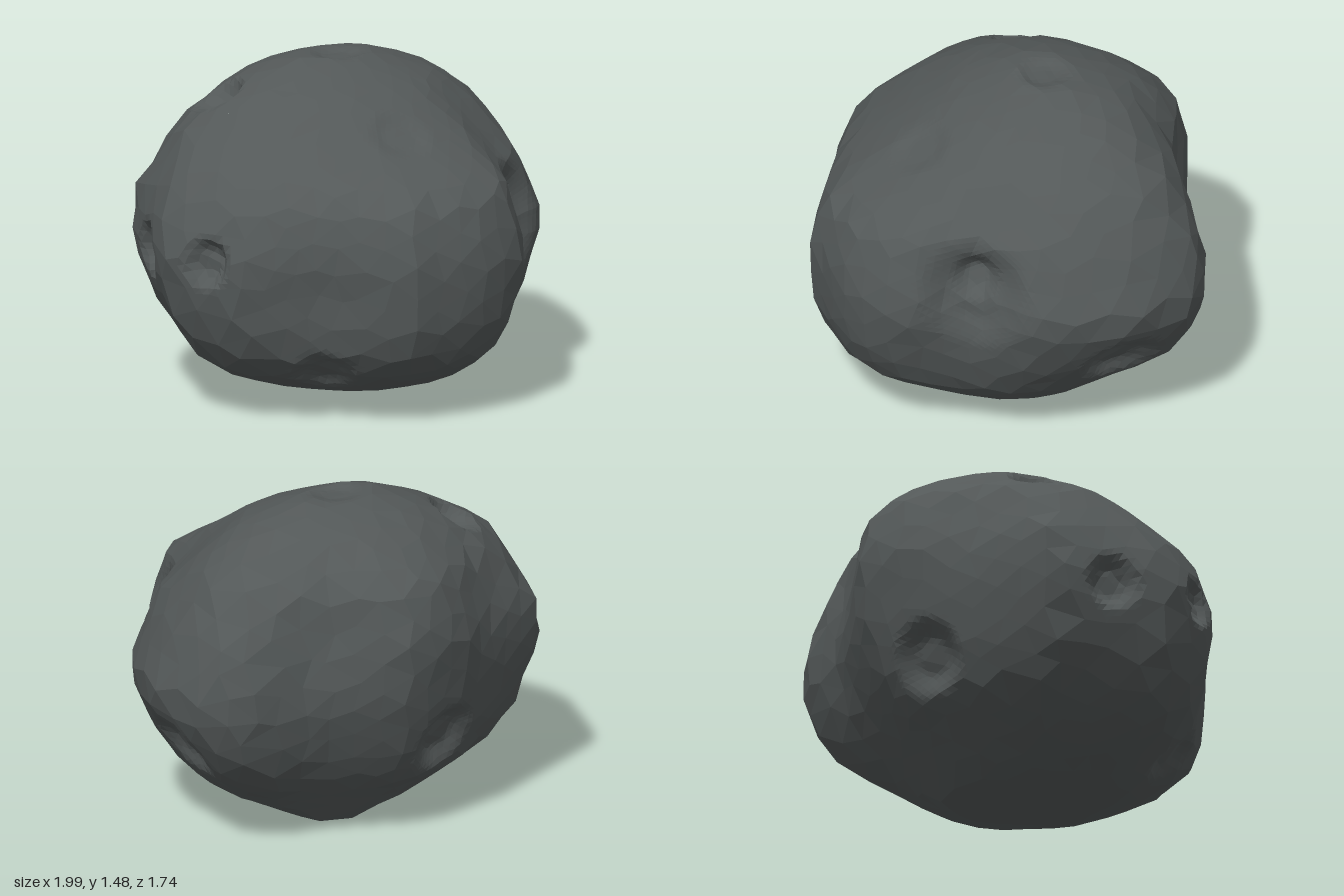
import * as THREE from 'three';

const CENTRE = new THREE.Vector3(0, 0.75, 0);

// height, then x and z limits of the body at that height
const RINGS = [
  [0.00, -0.03, 0.26, -0.36, -0.12], [0.03, -0.23, 0.33, -0.39, 0.16],
  [0.10, -0.48, 0.50, -0.46, 0.48], [0.18, -0.66, 0.62, -0.55, 0.63],
  [0.27, -0.79, 0.71, -0.67, 0.78], [0.45, -0.93, 0.87, -0.77, 0.86],
  [0.65, -1.00, 0.99, -0.83, 0.88], [0.76, -1.01, 1.00, -0.85, 0.88],
  [0.93, -0.95, 0.92, -0.88, 0.83], [1.02, -0.89, 0.88, -0.87, 0.79],
  [1.22, -0.71, 0.77, -0.81, 0.43], [1.36, -0.46, 0.57, -0.63, 0.21],
  [1.43, -0.29, 0.39, -0.48, 0.04], [1.48, -0.16, 0.23, -0.31, -0.09],
];

// plan outline (x, z) at the widest level, z brought to unit size
const PLAN = [
  [1, -0.14], [0.9, 0.15], [0.79, 0.31], [0.58, 0.46], [0.5, 0.57], [0.41, 0.76], [0.32, 0.82],
  [0.1, 0.87], [-0.25, 0.83], [-0.5, 0.62], [-0.88, 0.3], [-0.95, 0.15], [-1, -0.05], [-0.8, -0.56],
  [-0.6, -0.65], [-0.2, -0.83], [0, -0.87], [0.14, -0.87], [0.57, -0.66], [0.8, -0.6], [0.94, -0.45],
].map(([x, z]) => [x, z / 0.87]);

// broad swells and hollows: direction from the centre, angular reach, height
const SWELLS = [
  [0.41, 0.31, -0.54, 0.55, -0.08], [0.72, -0.32, -0.42, 0.50, 0.07],
  [-0.69, -0.40, 0.09, 0.45, 0.04], [0.75, 0.22, -0.36, 0.35, 0.03],
  [-0.38, 0.31, -0.55, 0.50, -0.05], [-0.53, -0.20, 0.52, 0.45, -0.04],
].map(([x, y, z, reach, height]) => ({ dir: new THREE.Vector3(x, y, z).normalize(), reach, height }));

// craters: rough position, radius, depth
const CRATERS = [
  [0.58, 0.80, 0.47, 0.27, 0.055], [0.54, 0.86, 0.45, 0.13, 0.045],
  [0.88, 0.40, -0.13, 0.20, 0.06], [-0.93, 0.74, 0.20, 0.13, 0.07],
  [-0.88, 0.70, -0.28, 0.14, 0.07], [-0.15, 0.46, -0.68, 0.19, 0.06],
  [0.05, 1.47, -0.18, 0.13, 0.02], [-0.45, 1.30, -0.34, 0.14, 0.07],
  [-0.45, 0.25, 0.45, 0.16, 0.04], [-0.02, 1.20, 0.38, 0.16, 0.015],
];

// radius of the plan outline in direction (u, v)
function planRadius(u, v) {
  for (let i = 0; i < PLAN.length; i++) {
    const [ax, az] = PLAN[i], [bx, bz] = PLAN[(i + 1) % PLAN.length];
    const ca = ax * v - az * u, cb = bx * v - bz * u;
    if (ca >= 0 && cb < 0) return (ax * bz - az * bx) / (u * (bz - az) - v * (bx - ax));
  }
  return 1;
}

function inside(p) {
  const i = RINGS.findIndex((r) => r[0] > p.y);
  if (i < 1) return false;
  const a = RINGS[i - 1], b = RINGS[i], t = (p.y - a[0]) / (b[0] - a[0]);
  const [x0, x1, z0, z1] = [1, 2, 3, 4].map((k) => a[k] + (b[k] - a[k]) * t);
  const u = (2 * p.x - x0 - x1) / (x1 - x0), v = (2 * p.z - z0 - z1) / (z1 - z0);
  const r = Math.hypot(u, v);
  if (r < 1e-6) return true;
  // plan outline at mid height, round towards top and bottom
  const w = Math.min(1, ((p.y - 0.75) / 0.73) ** 2);
  return r < planRadius(u / r, v / r) * (1 - w) + w;
}

// point where a ray from the centre leaves the body
function surface(dir) {
  let lo = 0, hi = 1.6;
  const p = new THREE.Vector3();
  for (let i = 0; i < 24; i++) {
    const mid = (lo + hi) / 2;
    if (inside(p.copy(CENTRE).addScaledVector(dir, mid))) lo = mid; else hi = mid;
  }
  for (const s of SWELLS) lo += s.height * (1 - THREE.MathUtils.smoothstep(dir.angleTo(s.dir), 0, s.reach));
  return p.copy(CENTRE).addScaledVector(dir, lo);
}

export function createModel() {
  const craters = CRATERS.map(([x, y, z, radius, depth]) => ({
    at: surface(new THREE.Vector3(x, y, z).sub(CENTRE).normalize()), radius, depth,
  }));

  // press flat-floored bowls into the surface
  const dent = (p) => {
    let drop = 0;
    for (const c of craters) {
      const d = p.distanceTo(c.at) / c.radius;
      drop += c.depth * (1 - THREE.MathUtils.smoothstep(d, 0.4, 1));
    }
    return p.clone().addScaledVector(p.clone().sub(CENTRE).normalize(), -drop);
  };

  // large facets, split finer only around the craters
  const points = [];
  const addFacet = (a, b, c, level) => {
    const mid = a.clone().add(b).add(c).divideScalar(3);
    const reach = Math.max(...[a, b, c].map((p) => p.distanceTo(mid)));
    if (level < 2 && craters.some((k) => mid.distanceTo(k.at) < k.radius + reach)) {
      const ab = a.clone().lerp(b, 0.5), bc = b.clone().lerp(c, 0.5), ca = c.clone().lerp(a, 0.5);
      [[a, ab, ca], [ab, b, bc], [ca, bc, c], [ab, bc, ca]].forEach((f) => addFacet(...f, level + 1));
    } else points.push(dent(a), dent(b), dent(c));
  };

  // uneven spacing keeps the facets irregular
  const ball = new THREE.IcosahedronGeometry(1, 7).getAttribute('position');
  const corner = (i) => {
    const d = new THREE.Vector3().fromBufferAttribute(ball, i);
    const { x, y, z } = d;
    d.x += 0.025 * Math.sin(17 * y + 23 * z);
    d.y += 0.025 * Math.sin(19 * z + 21 * x);
    d.z += 0.025 * Math.sin(22 * x + 18 * y);
    return surface(d.normalize());
  };
  for (let i = 0; i < ball.count; i += 3) addFacet(corner(i), corner(i + 1), corner(i + 2), 0);

  const geometry = new THREE.BufferGeometry().setFromPoints(points);
  geometry.computeVertexNormals();

  const rock = new THREE.MeshStandardMaterial({ color: 0x535858, flatShading: true });
  rock.name = 'dark rock';
  const body = new THREE.Mesh(geometry, rock);
  body.name = 'asteroidBody';
  const group = new THREE.Group();
  group.name = 'asteroid';
  group.add(body);
  return group;
}
